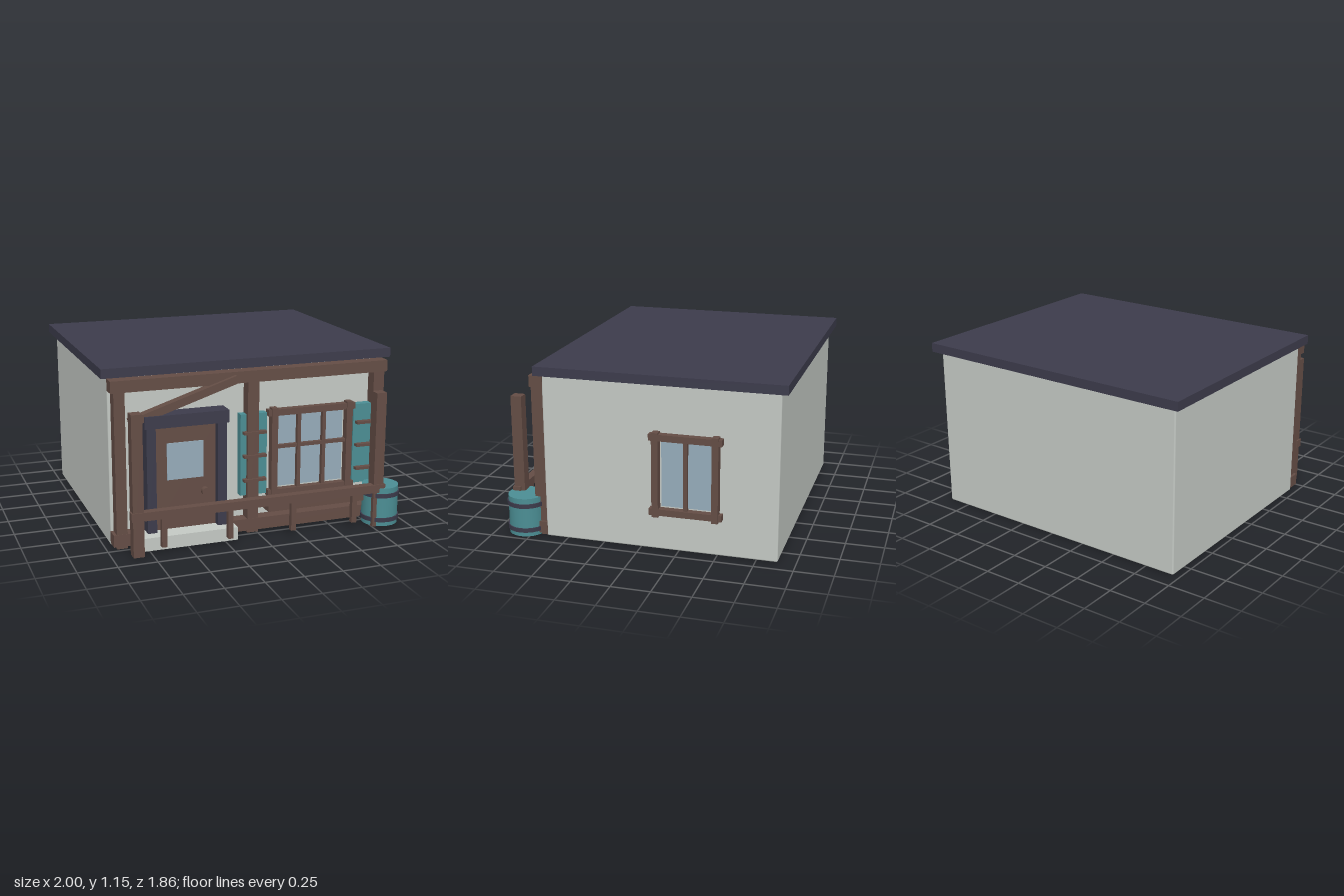
import * as THREE from 'three';
import { RoundedBoxGeometry } from 'three/addons/geometries/RoundedBoxGeometry.js';

const mat = (name, color) => {
  const m = new THREE.MeshStandardMaterial({ color });
  m.name = name;
  return m;
};

export function createModel() {
  const plaster = mat('plaster', 0xc4c9c4);
  const wood = mat('brown wood', 0x644d45);
  const slate = mat('dark slate', 0x3c3b4b);
  const teal = mat('teal paint', 0x4b8e94);
  const glass = mat('window glass', 0x96acba);

  const house = new THREE.Group();
  house.name = 'house';
  const group = (name) => {
    const g = new THREE.Group();
    g.name = name;
    house.add(g);
    return g;
  };
  const add = (parent, name, geometry, material, x, y, z) => {
    const m = new THREE.Mesh(geometry, material);
    m.name = name;
    m.position.set(x, y, z);
    parent.add(m);
    return m;
  };
  // Box given by its limits on each axis
  const box = (parent, name, material, x0, x1, y0, y1, z0, z1) =>
    add(parent, name, new THREE.BoxGeometry(x1 - x0, y1 - y0, z1 - z0), material,
      (x0 + x1) / 2, (y0 + y1) / 2, (z0 + z1) / 2);

  // Walls and flat roof
  add(house, 'walls', new RoundedBoxGeometry(1.86, 1.085, 1.53, 2, 0.01), plaster, -0.025, 0.5475, -0.12);
  box(house, 'roof', slate, -1, 0.95, 1.095, 1.155, -0.93, 0.685);

  // Timber framing on the front
  const timber = group('timberFrame');
  box(timber, 'topBeam', wood, -0.955, 0.908, 1.01, 1.085, 0.64, 0.73);
  box(timber, 'bottomBeamDoorSide', wood, -0.955, -0.79, 0.02, 0.1, 0.64, 0.727);
  box(timber, 'bottomBeamWindowSide', wood, -0.17, 0.905, 0.02, 0.1, 0.64, 0.727);
  for (const [x0, x1] of [[-0.935, -0.865], [-0.065, 0.01], [0.815, 0.89]])
    box(timber, 'post', wood, x0, x1, 0.005, 1.01, 0.64, 0.725);
  const brace = add(timber, 'diagonalBrace', new THREE.BoxGeometry(0.73, 0.05, 0.06), wood, -0.493, 0.93, 0.727);
  brace.rotation.z = Math.atan2(0.21, 0.65);

  // Door with dark surround and step
  const door = group('door');
  box(door, 'doorLeaf', wood, -0.685, -0.275, 0.09, 0.775, 0.64, 0.71);
  box(door, 'doorGlass', glass, -0.6, -0.36, 0.42, 0.66, 0.708, 0.716);
  box(door, 'lintel', slate, -0.755, -0.205, 0.775, 0.855, 0.64, 0.767);
  for (const x of [-0.742, -0.278])
    box(door, 'jamb', slate, x, x + 0.06, 0.09, 0.775, 0.64, 0.757);
  const stem = add(door, 'knobStem', new THREE.CylinderGeometry(0.012, 0.012, 0.04, 10), wood, -0.36, 0.335, 0.725);
  stem.rotation.x = Math.PI / 2;
  const knob = add(door, 'knob', new THREE.CylinderGeometry(0.027, 0.027, 0.035, 14), wood, -0.36, 0.335, 0.756);
  knob.rotation.x = Math.PI / 2;
  box(house, 'doorStep', plaster, -0.79, -0.17, 0.01, 0.095, 0.64, 0.83);

  // Window facing +z around its own centre: glass in front of z = 0, frame before the glass
  const makeWindow = (name, w, h, uprights, crossbars) => {
    const g = group(name);
    const s = 0.042, a = w / 2, b = h / 2;
    box(g, 'glass', glass, -a + 0.01, a - 0.01, -b + 0.01, b - 0.01, 0, 0.036);
    for (const k of [-1, 1]) {
      const x = k * (a + s / 2), y = k * (b + s / 2);
      box(g, 'stile', wood, x - s / 2, x + s / 2, -b - 0.053, b + 0.053, 0.03, 0.083);
      box(g, 'rail', wood, -a - 0.063, a + 0.063, y - s / 2, y + s / 2, 0.03, 0.076);
    }
    for (const x of uprights) box(g, 'upright', wood, x - 0.012, x + 0.012, -b, b, 0.03, 0.067);
    for (const y of crossbars) box(g, 'crossbar', wood, -a, a, y - 0.011, y + 0.011, 0.03, 0.065);
    return g;
  };
  makeWindow('frontWindow', 0.485, 0.495, [-0.088, 0.088], [0.037]).position.set(0.382, 0.527, 0.65);
  const side = makeWindow('sideWindow', 0.34, 0.445, [0], []);
  side.position.set(0.915, 0.532, -0.312);
  side.rotation.y = Math.PI / 2;
  box(house, 'windowShelf', wood, 0.045, 0.725, 0.165, 0.217, 0.64, 0.815);

  // Shutters with cross slats
  for (const x of [-0.015, 0.778]) {
    const shutter = group('shutter');
    box(shutter, 'panel', teal, x - 0.09, x + 0.09, 0.255, 0.797, 0.64, 0.7);
    for (const y of [0.362, 0.522, 0.677])
      box(shutter, 'slat', wood, x - 0.077, x + 0.077, y - 0.009, y + 0.009, 0.695, 0.737);
  }

  // Porch railing
  const porch = group('porchRailing');
  for (const x of [-0.84, 0.787])
    box(porch, 'porchPost', wood, x - 0.035, x + 0.035, 0.005, 0.912, 0.827, 0.9);
  box(porch, 'handrail', wood, -0.885, 0.833, 0.24, 0.295, 0.853, 0.907);
  for (const x of [-0.675, -0.24, 0.188, 0.618])
    box(porch, 'shortPost', wood, x - 0.017, x + 0.017, 0.05, 0.245, 0.862, 0.897);

  // Barrel with two hoops
  const barrel = group('barrel');
  add(barrel, 'barrelBody', new THREE.CylinderGeometry(0.12, 0.12, 0.26, 20), teal, 0.85, 0.137, 0.803);
  for (const y of [0.05, 0.217])
    add(barrel, 'hoop', new THREE.CylinderGeometry(0.128, 0.128, 0.028, 20), slate, 0.85, y, 0.803);

  return house;
}
